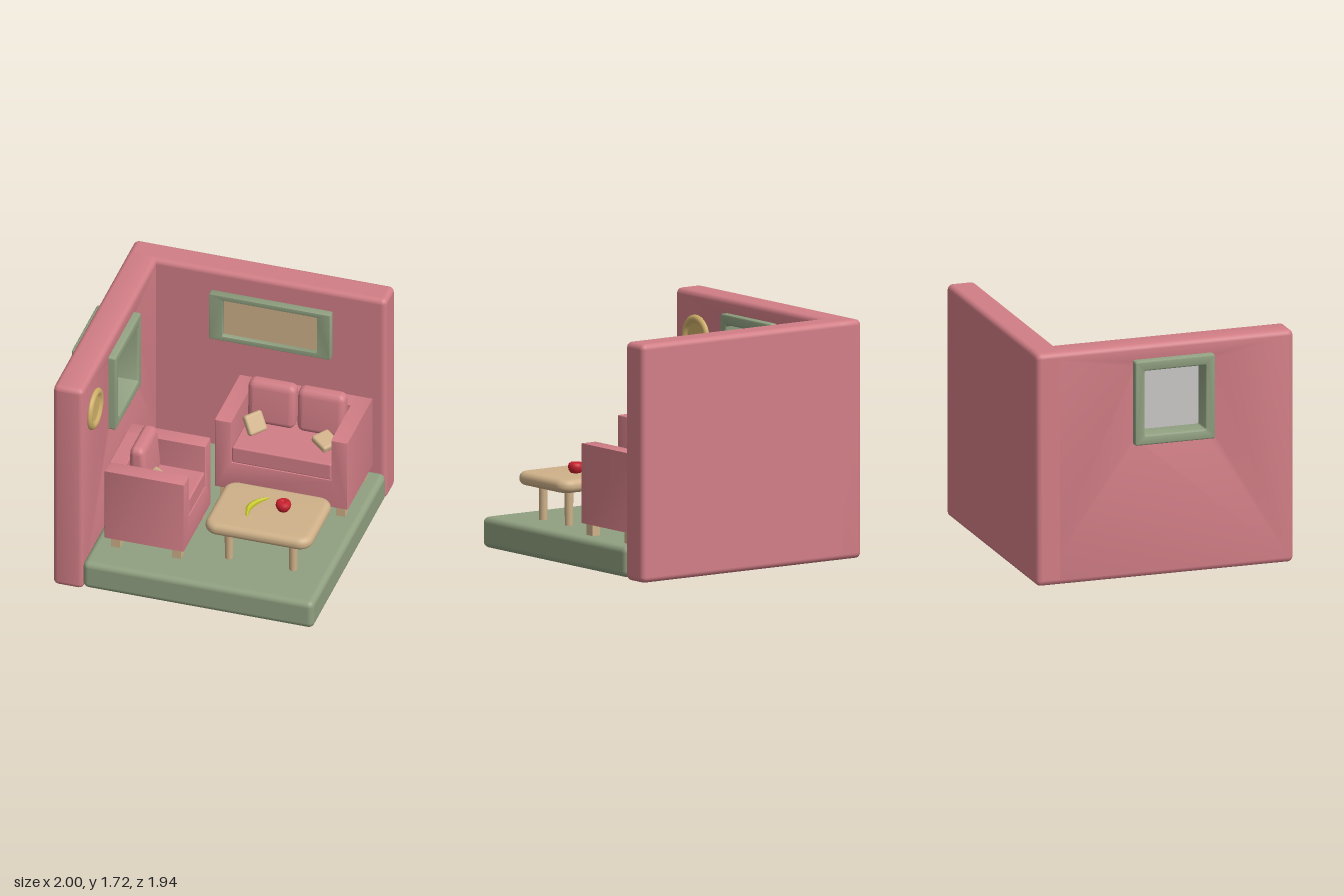
import * as THREE from 'three';
import { toCreasedNormals } from 'three/addons/utils/BufferGeometryUtils.js';
import { RoundedBoxGeometry } from 'three/addons/geometries/RoundedBoxGeometry.js';

const mat = (name, color, extra = {}) => {
  const m = new THREE.MeshStandardMaterial({ color, ...extra });
  m.name = name;
  return m;
};

export function createModel() {
  const pink = mat('rose', 0xd27e86);
  const green = mat('sage', 0x90a080);
  const tan = mat('lightWood', 0xcfb189);
  const glass = mat('paleGlass', 0xcac6c6);
  const gold = mat('gold', 0xcdae68);
  const yellow = mat('bananaYellow', 0xc4c42c, { flatShading: true });
  const red = mat('appleRed', 0xc8202e);

  const room = new THREE.Group();
  room.name = 'livingRoom';

  const add = (parent, name, geo, material, x = 0, y = 0, z = 0) => {
    const m = new THREE.Mesh(geo, material);
    m.name = name;
    m.position.set(x, y, z);
    parent.add(m);
    return m;
  };
  // Rounded box given by its extents on each axis
  const box = (parent, name, material, [x0, x1], [y0, y1], [z0, z1], r) =>
    add(parent, name, new RoundedBoxGeometry(x1 - x0, y1 - y0, z1 - z0, 3, r), material,
      (x0 + x1) / 2, (y0 + y1) / 2, (z0 + z1) / 2);

  // Rounded rectangle outline
  const rect = (Type, x0, x1, y0, y1, r) => {
    const s = new Type();
    s.moveTo(x0 + r, y0).lineTo(x1 - r, y0);
    s.absarc(x1 - r, y0 + r, r, -Math.PI / 2, 0);
    s.lineTo(x1, y1 - r).absarc(x1 - r, y1 - r, r, 0, Math.PI / 2);
    s.lineTo(x0 + r, y1).absarc(x0 + r, y1 - r, r, Math.PI / 2, Math.PI);
    s.lineTo(x0, y0 + r).absarc(x0 + r, y0 + r, r, Math.PI, Math.PI * 1.5);
    return s;
  };
  // Extrusion with rounded edges, centred in depth, never larger than its outline
  const slab = (shape, depth, bevel, segments = 3) => {
    const g = new THREE.ExtrudeGeometry(shape, {
      depth: depth - 2 * bevel, bevelEnabled: true, bevelSize: bevel, bevelThickness: bevel,
      bevelOffset: -bevel, bevelSegments: segments, curveSegments: 6,
    });
    g.translate(0, 0, bevel - depth / 2);
    return toCreasedNormals(g, 0.7);
  };
  const framed = (outer, hole, depth, bevel, r, rHole) => {
    const s = rect(THREE.Shape, ...outer, r);
    s.holes.push(rect(THREE.Path, ...hole, rHole));
    return slab(s, depth, bevel);
  };

  // Floor and walls
  box(room, 'floor', green, [-0.73, 0.995], [0.012, 0.235], [-0.765, 0.965], 0.045);
  box(room, 'backWall', pink, [-0.945, 0.995], [0, 1.72], [-0.97, -0.755], 0.04);
  const wall = add(room, 'sideWall',
    framed([-0.97, 0.97, 0, 1.72], [-0.31, 0.195, 1.045, 1.56], 0.222, 0.035, 0.04, 0.01), pink, -0.834);
  wall.rotation.y = Math.PI / 2;

  // Window through the side wall
  const frame = add(room, 'windowFrame',
    framed([-0.36, 0.245, 0.99, 1.615], [-0.288, 0.173, 1.065, 1.54], 0.33, 0.012, 0.016, 0.012), green, -0.835);
  frame.rotation.y = Math.PI / 2;
  add(room, 'windowPane', new THREE.BoxGeometry(0.009, 0.5, 0.485), glass, -0.835, 1.302, 0.057);

  // Picture on the back wall
  add(room, 'pictureFrame',
    framed([-0.31, 0.595, 1.165, 1.55], [-0.21, 0.495, 1.205, 1.512], 0.06, 0.004, 0.006, 0.005), green, 0, 0, -0.728);
  add(room, 'pictureCanvas', new THREE.BoxGeometry(0.72, 0.32, 0.009), tan, 0.1425, 1.358, -0.738);

  // Round wall plate
  const plateProfile = [[0, 0.012], [0.09, 0.012], [0.1, 0.016], [0.113, 0.03], [0.128, 0.034],
    [0.144, 0.028], [0.154, 0.014], [0.154, 0.004], [0.145, -0.004]].reverse();
  const plate = add(room, 'wallPlate',
    new THREE.LatheGeometry(plateProfile.map(p => new THREE.Vector2(...p)), 40), gold, -0.724, 1.402, 0.708);
  plate.rotation.z = -Math.PI / 2;

  // Back cushion: thick at the base, narrowing to a soft top
  const cushionGeo = () => {
    const g = new RoundedBoxGeometry(0.355, 0.345, 0.145, 6, 0.05);
    const p = g.attributes.position;
    for (let i = 0; i < p.count; i++) {
      const t = p.getY(i) / 0.345 + 0.5;
      p.setZ(i, p.getZ(i) * (1 - 0.3 * t * t) - 0.012 * t);
    }
    g.computeVertexNormals();
    return toCreasedNormals(g, 1.2);
  };
  // Scatter pillow: square, thinner towards its edges
  const pillow = (parent, x, y, z, yaw, tilt) => {
    const g = new RoundedBoxGeometry(0.152, 0.056, 0.152, 5, 0.02);
    const m = add(parent, 'scatterPillow', g, tan, x, y, z);
    m.rotation.set(tilt, yaw, 0, 'YXZ');
  };

  // Upholstered seat facing +z, with one or more back cushions
  const seat = (name, width, count) => {
    const g = new THREE.Group();
    g.name = name;
    room.add(g);
    const h = width / 2, d = 0.2975, inner = h - 0.123;
    const u = new THREE.Shape([[-h, 0.32], [h, 0.32], [h, 0.895], [inner, 0.895], [inner, 0.55],
      [-inner, 0.55], [-inner, 0.895], [-h, 0.895]].map(p => new THREE.Vector2(...p)));
    add(g, 'armsAndBase', slab(u, d * 2, 0.008, 2), pink);
    box(g, 'backrest', pink, [-inner - 0.02, inner + 0.02], [0.4, 0.895], [-d, -d + 0.125], 0.008);
    box(g, 'seatCushion', pink, [-inner + 0.002, inner - 0.002], [0.55, 0.682], [-d + 0.11, d - 0.004], 0.012);
    for (let i = 0; i < count; i++) {
      add(g, 'backCushion', cushionGeo(), pink, (i - (count - 1) / 2) * 0.37, 0.856, -d + 0.205);
    }
    for (const sx of [-1, 1]) for (const z of [-d + 0.075, d - 0.065]) {
      add(g, 'seatLeg', new THREE.BoxGeometry(0.068, 0.1, 0.068), tan, sx * (h - 0.061), 0.28, z);
    }
    pillow(g, -h + 0.226, 0.765, 0.072, 0.927, 1.0);
    return g;
  };
  const sofa = seat('sofa', 0.99, 2);
  sofa.position.set(0.415, 0, -0.4125);
  pillow(sofa, 0.265, 0.732, 0.088, 1.0, 0.25);
  const chair = seat('armchair', 0.625, 1);
  chair.position.set(-0.3375, 0, 0.4225);
  chair.rotation.y = Math.PI / 2;

  // Coffee table
  const table = new THREE.Group();
  table.name = 'coffeeTable';
  table.position.set(0.489, 0, 0.422);
  room.add(table);
  const top = add(table, 'tableTop',
    slab(rect(THREE.Shape, -0.4, 0.4, -0.298, 0.298, 0.1), 0.096, 0.045, 6), tan, 0, 0.537, 0);
  top.rotation.x = -Math.PI / 2;
  for (const x of [-0.241, 0.239]) for (const z of [-0.145, 0.162]) {
    add(table, 'tableLeg', new THREE.CylinderGeometry(0.032, 0.029, 0.28, 20), tan, x, 0.37, z);
  }

  // Banana: a bent tube tapered at both ends
  const path = new THREE.CatmullRomCurve3([[0.463, 0.612, 0.305], [0.395, 0.606, 0.365],
    [0.355, 0.604, 0.46], [0.38, 0.612, 0.577]].map(p => new THREE.Vector3(...p)));
  const rings = 14, sides = 6;
  const bananaGeo = new THREE.TubeGeometry(path, rings, 0.022, sides);
  const bp = bananaGeo.attributes.position, v = new THREE.Vector3();
  for (let i = 0; i < bp.count; i++) {
    const t = Math.floor(i / (sides + 1)) / rings;
    const c = path.getPointAt(t);
    v.fromBufferAttribute(bp, i).sub(c).multiplyScalar(0.1 + 0.9 * Math.sin(Math.PI * t) ** 0.7).add(c);
    bp.setXYZ(i, v.x, v.y, v.z);
  }
  add(room, 'banana', bananaGeo, yellow);

  // Apple
  const appleProfile = [[0, 0.01], [0.02, 0], [0.038, 0.004], [0.05, 0.022], [0.056, 0.045],
    [0.052, 0.066], [0.038, 0.078], [0.02, 0.077], [0.008, 0.07], [0, 0.064]];
  add(room, 'apple', new THREE.LatheGeometry(appleProfile.map(p => new THREE.Vector2(...p)), 20), red, 0.59, 0.584, 0.382);

  return room;
}
